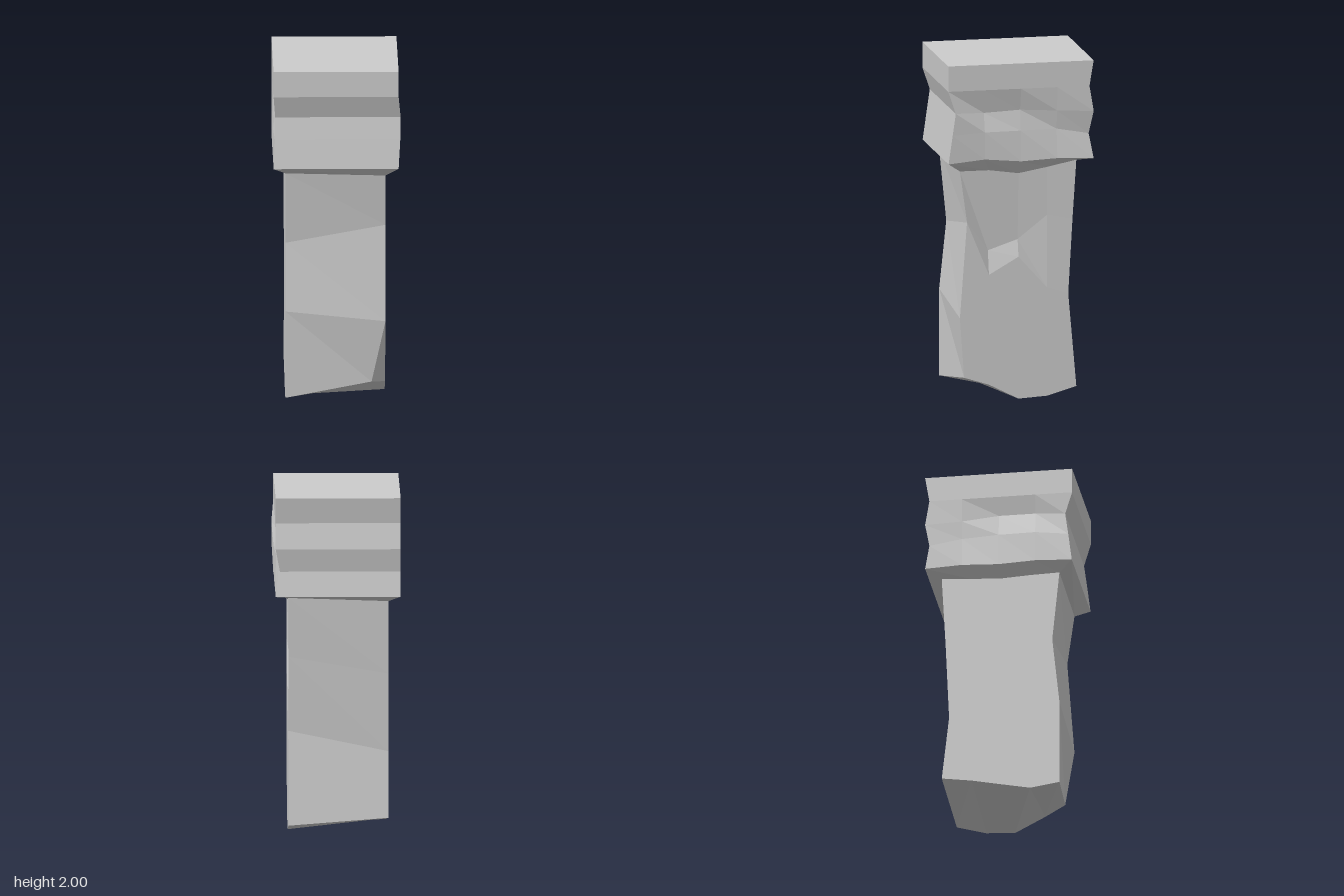
import * as THREE from 'three';

const at = (v, i) => (Array.isArray(v) ? v[i] : v);

// One ring of ten points: five along the +x side (front to back), five back along the -x side.
// Each side gives x, y, z as a number or as five values.
function ring(right, left) {
  const side = (s) => [0, 1, 2, 3, 4].map((i) => [at(s.x, i), at(s.y, i), at(s.z, i)]);
  return [...side(right), ...side(left).reverse()];
}

// Skin between stacked rings, with optional end faces
function loft(name, rings, material, closeBottom, closeTop) {
  const pos = [];
  const tri = (...pts) => pts.forEach((p) => pos.push(...p));
  for (let r = 0; r + 1 < rings.length; r++) {
    const a = rings[r], b = rings[r + 1];
    for (let i = 0; i < 10; i++) {
      const j = (i + 1) % 10;
      tri(a[i], a[j], b[i]);
      tri(a[j], b[j], b[i]);
    }
  }
  const lid = (p, up) => {
    for (let i = 0; i < 4; i++) {
      const q = [p[i], p[i + 1], p[8 - i], p[9 - i]];
      if (!up) q.reverse();
      tri(q[0], q[1], q[2]);
      tri(q[0], q[2], q[3]);
    }
  };
  if (closeBottom) lid(rings[0], false);
  if (closeTop) lid(rings[rings.length - 1], true);
  const geo = new THREE.BufferGeometry();
  geo.setAttribute('position', new THREE.Float32BufferAttribute(pos, 3));
  geo.computeVertexNormals();
  const mesh = new THREE.Mesh(geo, material);
  mesh.name = name;
  return mesh;
}

export function createModel() {
  const group = new THREE.Group();
  group.name = 'carvedPost';
  const material = new THREE.MeshStandardMaterial({ color: 0xcccccc, flatShading: true });

  const shaftZ = (f, b) => [f, 0.175, 0, -0.17, b];
  const capZ = (f, b) => [f, 0.215, 0, -0.215, b];

  // Shaft: uneven foot with a chipped front corner, two worn bands, neck
  const foot = ring(
    { x: [0.2, 0.28, 0.28, 0.28, 0.28], y: [0.12, 0.09, 0, 0.01, 0.06], z: shaftZ(0.305, -0.343) },
    { x: -0.3, y: [0.035, 0.01, 0.045, 0.08, 0.105], z: shaftZ(0.347, -0.343) });
  const lowBand = ring(
    { x: 0.28, y: [0.49, 0.74, 0.84, 0.65, 0.61], z: shaftZ(0.347, -0.295) },
    { x: -0.3, y: [0.55, 0.54, 0.52, 0.5, 0.49], z: shaftZ(0.347, -0.3) });
  const highBand = ring(
    { x: [0.28, 0.25, 0.255, 0.275, 0.28], y: [1.055, 0.88, 0.94, 1.08, 1.05], z: shaftZ(0.305, -0.32) },
    { x: -0.3, y: 0.95, z: shaftZ(0.305, -0.32) });
  const neck = ring(
    { x: 0.28, y: [1.36, 1.36, 1.335, 1.365, 1.4], z: shaftZ(0.347, -0.343) },
    { x: -0.3, y: [1.375, 1.37, 1.36, 1.37, 1.38], z: shaftZ(0.347, -0.343) });
  group.add(loft('shaft', [foot, lowBand, highBand, neck], material, true, false));

  // Cap: flares out from the neck, then rises through two shallow grooves
  const capRings = [
    neck,
    ring(
      { x: 0.355, y: [1.42, 1.44, 1.42, 1.43, 1.42], z: capZ(0.43, -0.43) },
      { x: -0.37, y: [1.42, 1.43, 1.42, 1.43, 1.42], z: capZ(0.43, -0.43) }),
    ring(
      { x: [0.365, 0.355, 0.345, 0.33, 0.33], y: [1.59, 1.6, 1.6, 1.6, 1.565], z: capZ(0.408, -0.405) },
      { x: [-0.362, -0.37, -0.365, -0.36, -0.37], y: [1.59, 1.61, 1.61, 1.6, 1.565], z: capZ(0.408, -0.405) }),
    ring(
      { x: [0.367, 0.325, 0.325, 0.345, 0.355], y: [1.72, 1.71, 1.72, 1.71, 1.7], z: capZ(0.39, -0.43) },
      { x: [-0.36, -0.345, -0.345, -0.365, -0.37], y: [1.72, 1.74, 1.74, 1.71, 1.7], z: capZ(0.39, -0.43) }),
    ring(
      { x: 0.355, y: 1.85, z: capZ(0.432, -0.405) },
      { x: -0.37, y: 1.85, z: capZ(0.432, -0.405) }),
    ring(
      { x: 0.355, y: 2, z: capZ(0.432, -0.43) },
      { x: -0.37, y: 2, z: capZ(0.432, -0.43) }),
  ];
  group.add(loft('cap', capRings, material, false, true));

  return group;
}
